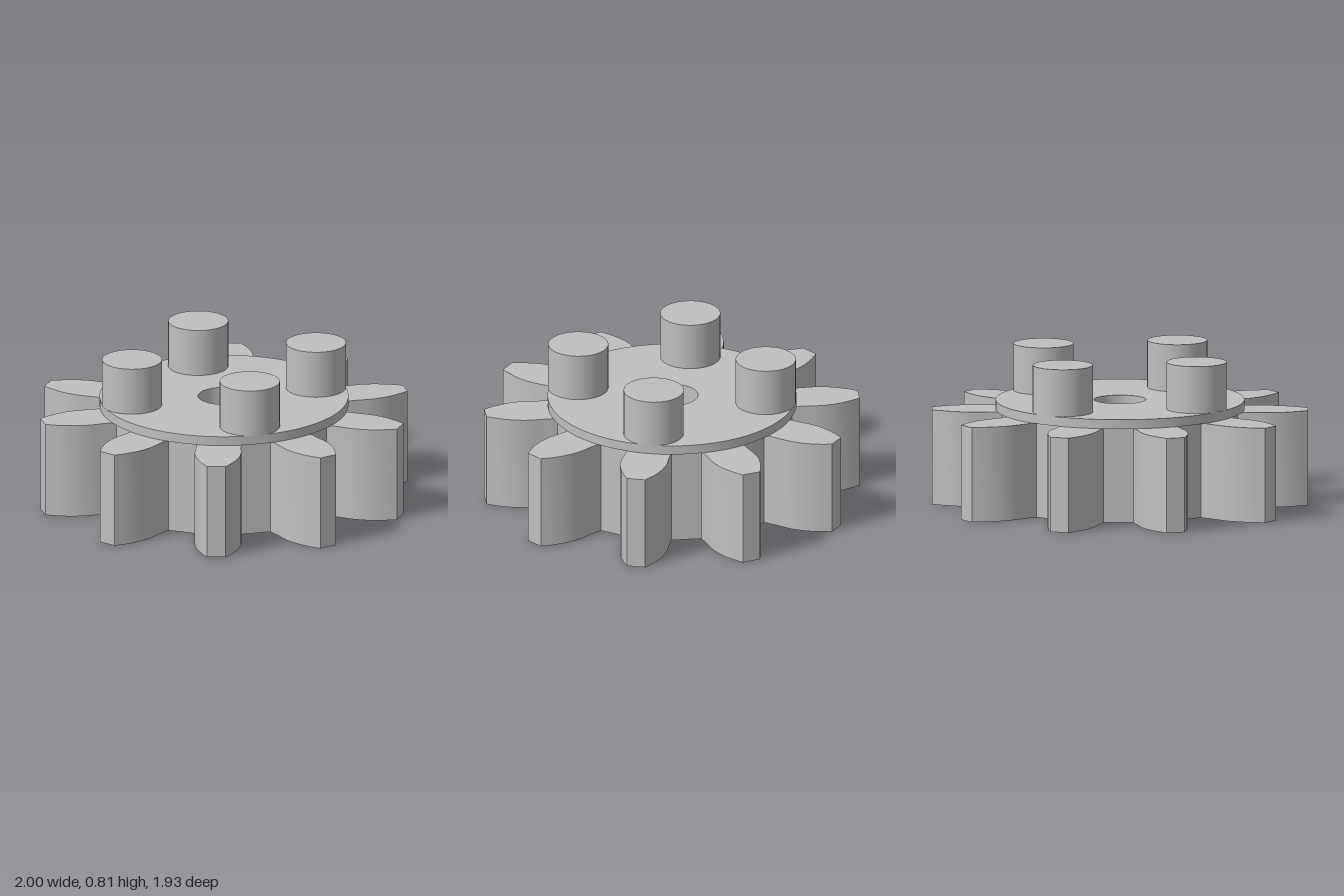
import * as THREE from 'three';
import { toCreasedNormals } from 'three/addons/utils/BufferGeometryUtils.js';

const TEETH = 10;
const GEAR_HEIGHT = 0.51;
const PLATE_HEIGHT = 0.05;
const BORE_RADIUS = 0.138;

// One tooth flank from root to tip: [distance from axis, half width]
const FLANK = [
  [0.627, 0.1195], [0.7, 0.12], [0.76, 0.124], [0.8, 0.123],
  [0.85, 0.115], [0.9, 0.1], [0.95, 0.078], [1, 0.05],
];

// Extrudes a shape with the central bore upwards from height y
function extrudeUp(shape, height, y) {
  const bore = new THREE.Path();
  bore.absarc(0, 0, BORE_RADIUS, 0, Math.PI * 2, true);
  shape.holes.push(bore);
  const geometry = new THREE.ExtrudeGeometry(shape, {
    depth: height, bevelEnabled: false, curveSegments: 48,
  });
  geometry.rotateX(-Math.PI / 2);
  geometry.translate(0, y, 0);
  return toCreasedNormals(geometry, 0.5);
}

// Gear outline: the flank goes out, its mirror comes back, once per tooth
function gearShape() {
  const tooth = [
    ...FLANK.map(([r, w]) => new THREE.Vector2(r, -w)),
    ...FLANK.map(([r, w]) => new THREE.Vector2(r, w)).reverse(),
  ];
  const points = [];
  const origin = new THREE.Vector2();
  for (let i = 0; i < TEETH; i++) {
    const angle = (i / TEETH) * Math.PI * 2;
    points.push(...tooth.map((p) => p.clone().rotateAround(origin, angle)));
  }
  return new THREE.Shape(points);
}

export function createModel() {
  const group = new THREE.Group();
  group.name = 'pinGear';
  const grey = new THREE.MeshStandardMaterial({ color: 0xc0c0c0 });
  grey.name = 'lightGrey';

  const add = (name, geometry) => {
    const mesh = new THREE.Mesh(geometry, grey);
    mesh.name = name;
    group.add(mesh);
    return mesh;
  };

  // Toothed wheel
  add('gearWheel', extrudeUp(gearShape(), GEAR_HEIGHT, 0));

  // Thin round plate on top of the wheel
  const disc = new THREE.Shape();
  disc.absarc(0, 0, 0.662, 0, Math.PI * 2, false);
  add('topPlate', extrudeUp(disc, PLATE_HEIGHT, GEAR_HEIGHT));

  // Four drive pins standing on the plate, reaching slightly past its rim
  const pinBase = GEAR_HEIGHT + PLATE_HEIGHT;
  const pinHeight = 0.253;
  const pin = new THREE.CylinderGeometry(0.16, 0.16, pinHeight, 48);
  ['leftPin', 'frontPin', 'rightPin', 'backPin'].forEach((name, i) => {
    const angle = (i * Math.PI) / 2;
    add(name, pin).position.set(
      0.508 * Math.cos(angle), pinBase + pinHeight / 2, 0.508 * Math.sin(angle));
  });

  return group;
}
